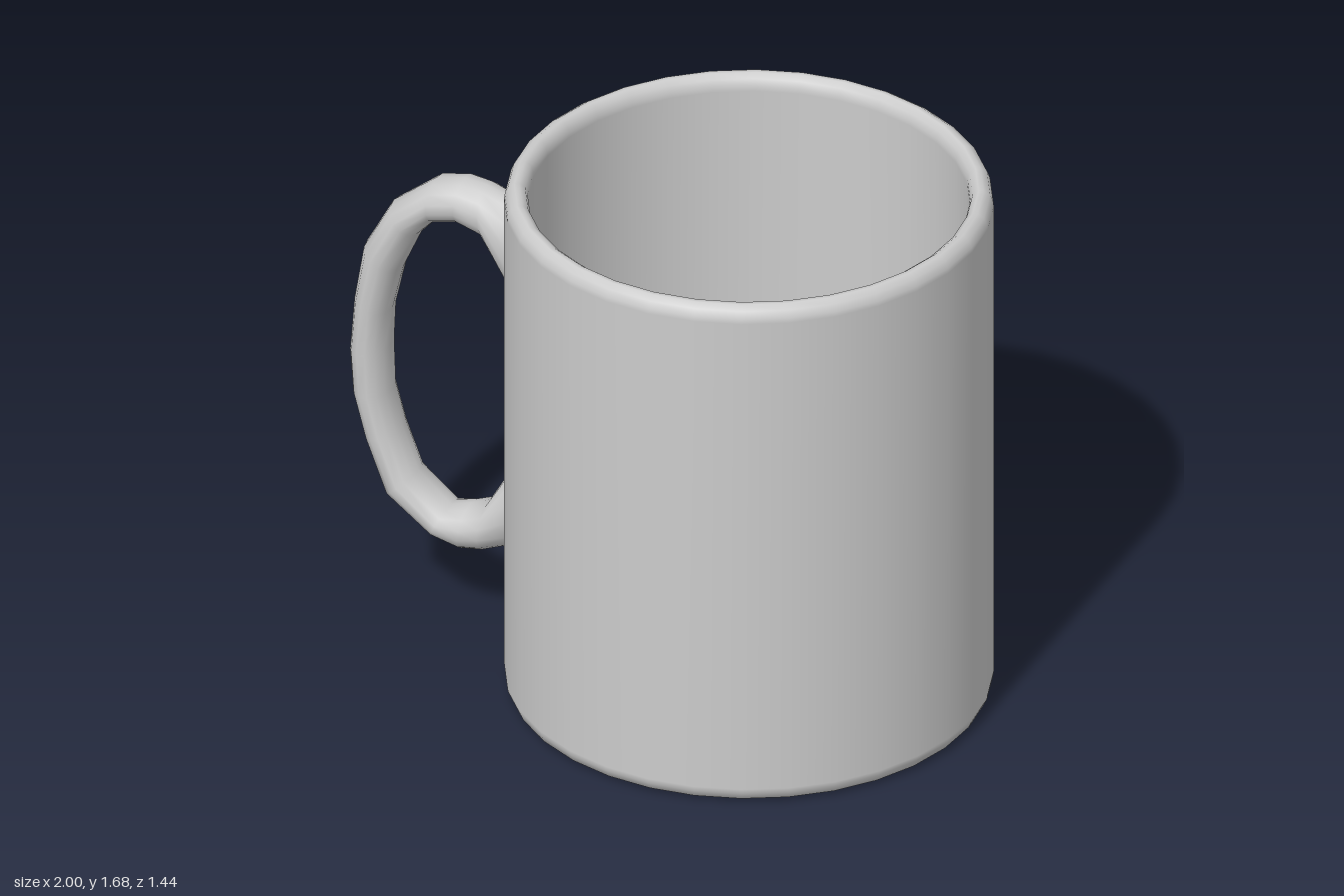
import * as THREE from 'three';

const material = new THREE.MeshStandardMaterial({ color: 0xcccccc });

// Closed tube through elliptical sections, each given by its outer and inner edge [ox, oy, ix, iy]
function loftHandle(sections, halfWidth, sides) {
  const positions = [], indices = [];
  sections.forEach(([ox, oy, ix, iy], i) => {
    for (let j = 0; j < sides; j++) {
      const a = (j / sides) * Math.PI * 2, t = (1 + Math.cos(a)) / 2;
      positions.push(ix + (ox - ix) * t, iy + (oy - iy) * t, halfWidth * Math.sin(a));
      if (i === sections.length - 1) continue;
      const k = (j + 1) % sides, p = i * sides, q = p + sides;
      indices.push(p + j, q + j, p + k, q + j, q + k, p + k);
    }
  });
  const geometry = new THREE.BufferGeometry();
  geometry.setAttribute('position', new THREE.Float32BufferAttribute(positions, 3));
  geometry.setIndex(indices);
  geometry.computeVertexNormals();
  return geometry;
}

export function createModel() {
  const group = new THREE.Group();
  group.name = 'mug';

  // Cup: underside, outer wall, rounded rim, inner wall and floor in one profile
  const profile = [
    [0, 0], [0.67, 0], [0.69, 0.003], [0.708, 0.013], [0.718, 0.035], [0.72, 0.05],
    [0.72, 1.63], [0.718, 1.645], [0.709, 1.667], [0.69, 1.68], [0.675, 1.68],
    [0.658, 1.667], [0.651, 1.645], [0.65, 1.63],
    [0.65, 0.12], [0.643, 0.095], [0.62, 0.08], [0.6, 0.08], [0, 0.08],
  ].map(([r, y]) => new THREE.Vector2(r, y));
  const cup = new THREE.Mesh(new THREE.LatheGeometry(profile, 32), material);
  cup.name = 'cup';
  cup.position.x = 0.275;
  group.add(cup);

  // Handle: flares where it meets the wall, ends buried in the wall
  const sections = [
    [-0.41, 1.435, -0.41, 1.10],
    [-0.47, 1.457, -0.485, 1.17],
    [-0.57, 1.487, -0.56, 1.325],
    [-0.64, 1.495, -0.645, 1.355],
    [-0.73, 1.475, -0.73, 1.335],
    [-0.87, 1.365, -0.78, 1.28],
    [-0.955, 1.21, -0.84, 1.145],
    [-0.985, 1.03, -0.875, 0.995],
    [-1.0, 0.85, -0.88, 0.87],
    [-0.99, 0.72, -0.875, 0.72],
    [-0.95, 0.57, -0.84, 0.595],
    [-0.88, 0.39, -0.79, 0.465],
    [-0.73, 0.28, -0.685, 0.375],
    [-0.64, 0.25, -0.62, 0.395],
    [-0.57, 0.26, -0.56, 0.42],
    [-0.47, 0.295, -0.47, 0.575],
    [-0.41, 0.315, -0.41, 0.63],
  ];
  const handle = new THREE.Mesh(loftHandle(sections, 0.087, 14), material);
  handle.name = 'handle';
  group.add(handle);

  return group;
}
